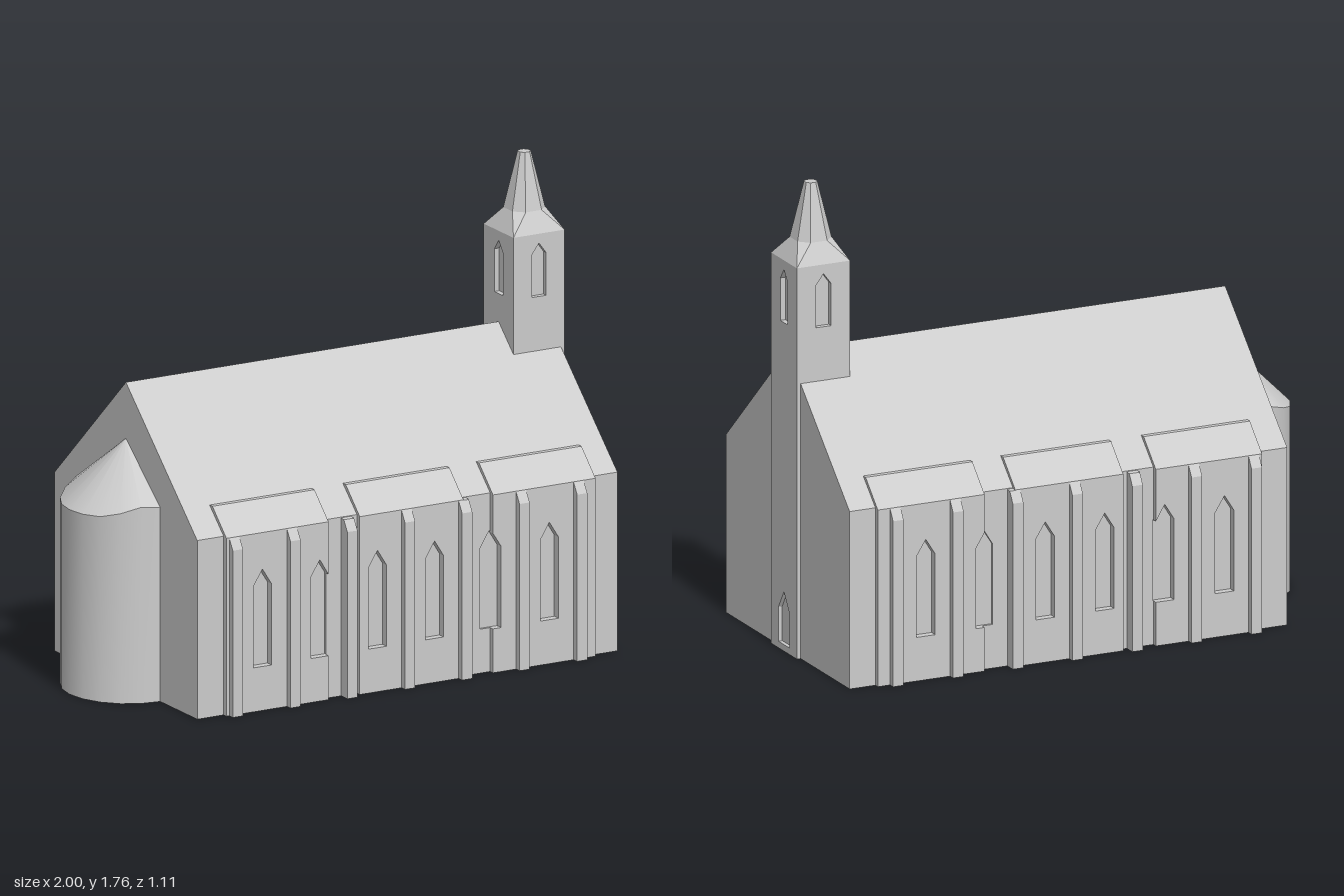
import * as THREE from 'three';

const stone = new THREE.MeshStandardMaterial({ color: 0xcccccc });
stone.name = 'pale stone';

const toShape = (pts) => new THREE.Shape(pts.map(([x, y]) => new THREE.Vector2(x, y)));

// Pointed-arch outline
const arch = (c, half, y0, spring, top) => [
  [c - half, y0], [c + half, y0], [c + half, spring], [c, top], [c - half, spring],
];

// Outline in x/y with holes, extruded along z
function slab(outline, holes, z0, depth) {
  const shape = toShape(outline);
  holes.forEach((h) => shape.holes.push(new THREE.Path(toShape(h).getPoints())));
  return new THREE.ExtrudeGeometry(shape, { depth, bevelEnabled: false }).translate(0, 0, z0);
}

// Cross-section in z/y, extruded along x
function section(pts, x0, x1) {
  const shape = toShape(pts.map(([z, y]) => [-z, y]));
  return new THREE.ExtrudeGeometry(shape, { depth: x1 - x0, bevelEnabled: false })
    .rotateY(Math.PI / 2).translate(x0, 0, 0);
}

const rect = (x0, x1, y0, y1) => [[x0, y0], [x1, y0], [x1, y1], [x0, y1]];

// Spire: square base lofted into an octagon, then a narrow tip
function spireGeometry(base, y0) {
  const ring = (a, b, y) => {
    const pts = [];
    for (let k = 0; k < 4; k++) {
      for (const [x, z] of [[a, b], [b, a]]) {
        const c = Math.round(Math.cos(k * Math.PI / 2)), s = Math.round(Math.sin(k * Math.PI / 2));
        pts.push([x * c - z * s, y, x * s + z * c]);
      }
    }
    return pts;
  };
  const rings = [ring(base, base, y0), ring(0.068, 0.033, 1.55), ring(0.022, 0.01, 1.76)];
  const pos = [];
  for (let r = 0; r < 2; r++) {
    for (let i = 0; i < 8; i++) {
      const j = (i + 1) % 8, a = rings[r], b = rings[r + 1];
      pos.push(...a[i], ...b[i], ...a[j], ...a[j], ...b[i], ...b[j]);
    }
  }
  for (let i = 0; i < 8; i++) pos.push(0, 1.76, 0, ...rings[2][(i + 1) % 8], ...rings[2][i]);
  const g = new THREE.BufferGeometry();
  g.setAttribute('position', new THREE.Float32BufferAttribute(pos, 3));
  g.computeVertexNormals();
  return g;
}

export function createModel() {
  const model = new THREE.Group();
  model.name = 'church';
  const add = (name, geometry, parent = model) => {
    const mesh = new THREE.Mesh(geometry, stone);
    mesh.name = name;
    parent.add(mesh);
    return mesh;
  };

  // Nave with gabled roof
  const X0 = -0.765, X1 = 0.985;
  add('nave', section([
    [-0.5, 0], [0.5, 0], [0.5, 0.66], [0.51, 0.66], [0.51, 0.67], [0, 1.135],
    [-0.51, 0.67], [-0.51, 0.66], [-0.5, 0.66],
  ], X0, X1));

  const win = (c) => arch(c, 0.0375, 0.165, 0.47, 0.53);
  const windows = [-0.505, -0.266, -0.026, 0.212, 0.451, 0.69];
  const buttresses = [-0.622, -0.382, -0.145, 0.095, 0.333, 0.572, 0.812];

  // Thickened wall panels; two have a window cutting through their edge
  const panels = [
    { x0: -0.655, x1: -0.23, holes: [-0.505], outline: [[-0.655, 0], [-0.23, 0], [-0.23, 0.165],
      [-0.3035, 0.165], [-0.3035, 0.47], [-0.266, 0.53], [-0.23, 0.47], [-0.23, 0.6], [-0.655, 0.6]] },
    { x0: -0.1, x1: 0.332, holes: [-0.026, 0.212], outline: rect(-0.1, 0.332, 0, 0.6) },
    { x0: 0.455, x1: 0.882, holes: [0.69], outline: [[0.455, 0], [0.882, 0], [0.882, 0.6],
      [0.455, 0.6], [0.455, 0.523], [0.4885, 0.47], [0.4885, 0.165], [0.455, 0.165]] },
  ];

  for (const s of [1, -1]) {
    const side = new THREE.Group();
    side.name = s > 0 ? 'frontWall' : 'backWall';
    model.add(side);
    const layer = (z, d) => (s > 0 ? z : -z - d);
    const flip = (pts) => pts.map(([z, y]) => [z * s, y]);

    // Outer wall skin with window recesses
    add('wallSkin', slab(rect(X0, X1, 0, 0.66), windows.map(win), layer(0.5, 0.01), 0.01), side);

    for (const p of panels) {
      add('wallPanel', slab(p.outline, p.holes.map(win), layer(0.51, 0.02), 0.02), side);
      add('panelRoof', section(flip([
        [0.41, 0.6], [0.53, 0.6], [0.53, 0.667], [0.43, 0.762], [0.41, 0.762],
      ]), p.x0, p.x1), side);
    }

    // Buttresses with sloping caps
    for (const x of buttresses) {
      add('buttress', section(flip([
        [0.505, 0], [0.555, 0], [0.555, 0.625], [0.53, 0.665], [0.505, 0.668],
      ]), x - 0.021, x + 0.021), side);
    }
  }

  // Bell tower: core with four recessed faces
  const tower = new THREE.Group();
  tower.name = 'tower';
  tower.position.x = 0.8935;
  model.add(tower);
  const H = 0.1065, D = 0.02, TOP = 1.475;
  add('towerCore', new THREE.BoxGeometry(2 * (H - D), TOP, 2 * (H - D)).translate(0, TOP / 2, 0), tower);
  for (let k = 0; k < 4; k++) {
    const holes = [arch(0, 0.03, 1.24, 1.4, 1.44)];
    if (k === 1) holes.push(arch(0, 0.045, 0.025, 0.155, 0.225)); // doorway
    const face = add('towerFace', slab(rect(-H, H, 0, TOP), holes, H - D, D), tower);
    face.rotation.y = k * Math.PI / 2;
  }
  add('spire', spireGeometry(H, TOP), tower);

  // Half-round apse with a conical roof and uneven rim
  const apse = new THREE.Group();
  apse.name = 'apse';
  apse.position.x = X0;
  model.add(apse);
  const RX = 0.235, RZ = 0.245, N = 10;
  const rim = [0.692, 0.692, 0.695, 0.712, 0.735, 0.727];
  const rimAt = (x, z) => rim[Math.round(Math.atan2(Math.abs(z) / RZ, -x / RX) / (Math.PI / N))];
  const halfRound = (rTop, height, y, isRim) => {
    const g = new THREE.CylinderGeometry(rTop, 1, height, N, 1, true, Math.PI, Math.PI)
      .scale(RX, 1, RZ).translate(0, y + height / 2, 0);
    const p = g.attributes.position;
    for (let i = 0; i < p.count; i++) {
      if (isRim(p.getY(i))) p.setY(i, rimAt(p.getX(i), p.getZ(i)));
    }
    g.computeVertexNormals();
    return g;
  };
  add('apseWall', halfRound(1, 0.7, 0, (y) => y > 0.5), apse);
  add('apseRoof', halfRound(0, 0.225, 0.7, (y) => y < 0.8), apse);
  add('apseFloor', new THREE.CircleGeometry(1, N, Math.PI / 2, Math.PI)
    .rotateX(Math.PI / 2).scale(RX, 1, RZ), apse);

  return model;
}
